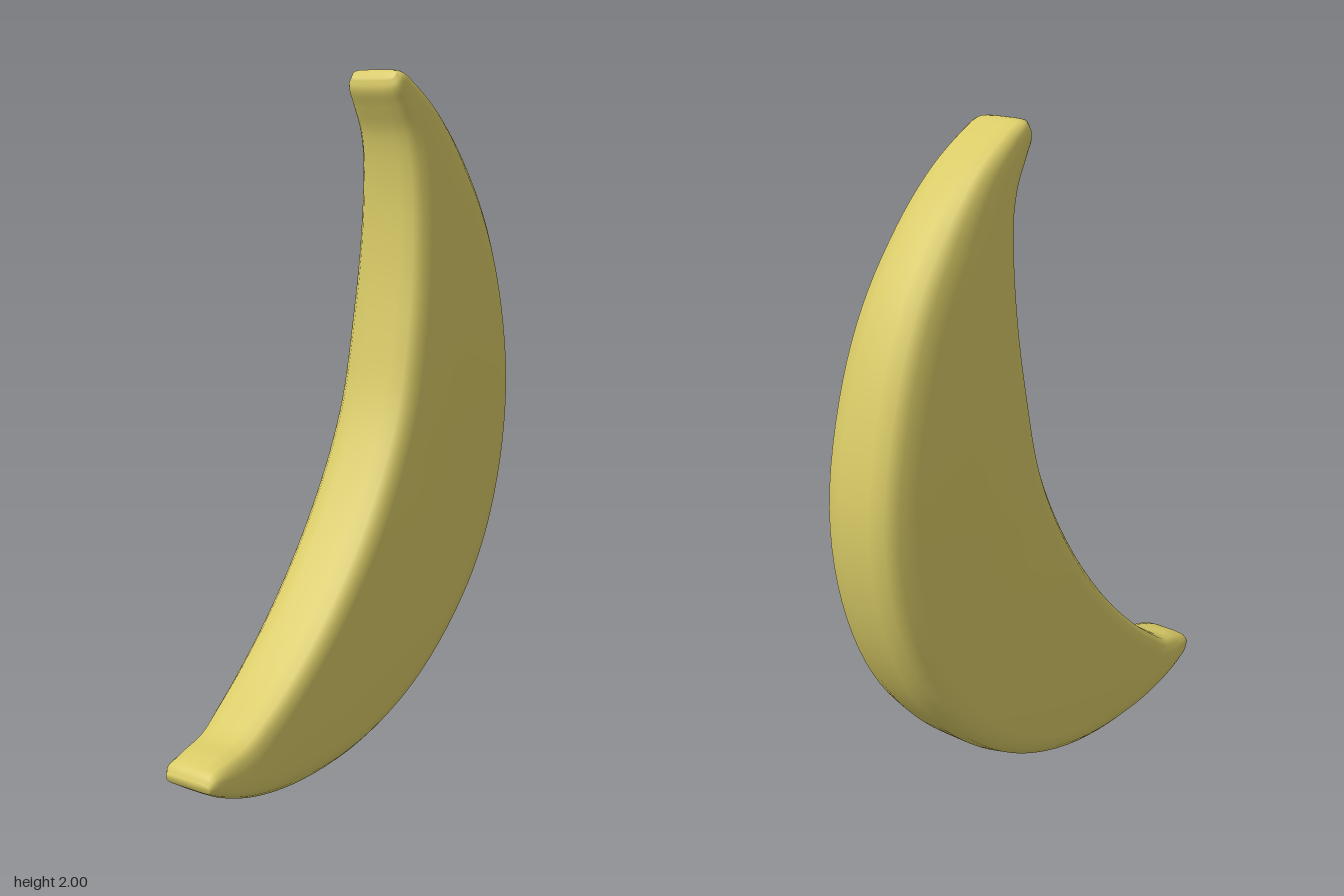
import * as THREE from 'three';

// Stations from the top tip to the bottom tip: [outerX, outerY, innerX, innerY, half thickness]
const STATIONS = [
  [0.125, 1.998, 0.107, 1.972, 0.075],
  [0.15, 1.997, 0.106, 1.94, 0.089],
  [0.2, 1.975, 0.13, 1.89, 0.094],
  [0.33, 1.89, 0.165, 1.81, 0.102],
  [0.47, 1.75, 0.185, 1.65, 0.113],
  [0.6, 1.56, 0.178, 1.45, 0.122],
  [0.69, 1.33, 0.15, 1.25, 0.129],
  [0.742, 1.04, 0.1, 1.03, 0.131],
  [0.713, 0.76, 0.02, 0.85, 0.131],
  [0.61, 0.5, -0.1, 0.66, 0.13],
  [0.45, 0.3, -0.25, 0.48, 0.125],
  [0.22, 0.13, -0.4, 0.34, 0.118],
  [-0.05, 0.03, -0.52, 0.25, 0.11],
  [-0.33, 0.002, -0.6, 0.2, 0.102],
  [-0.55, 0.03, -0.68, 0.18, 0.096],
  [-0.7, 0.085, -0.73, 0.158, 0.089],
  [-0.738, 0.108, -0.746, 0.13, 0.075],
];

// Rounded edge of the section: [inset from the rim, share of the half thickness]
const EDGE = [[0, 0.4], [0.12, 0.76], [0.45, 0.93], [1, 1]];

// Closed section between an outer and an inner rim point, whose z holds the half thickness
function section(outer, inner) {
  const width = Math.hypot(outer.x - inner.x, outer.y - inner.y);
  const outerInset = Math.min(0.3, 0.1 / width);
  const innerInset = Math.min(0.3, 0.07 / width);
  const half = [
    ...EDGE.map(([i, z]) => [i * outerInset, z]),
    [0.5, 1],
    ...EDGE.map(([i, z]) => [1 - i * innerInset, z]).reverse(),
  ];
  const ring = [...half, ...half.map(([u, z]) => [u, -z]).reverse()];
  return ring.map(([u, z]) => {
    const p = outer.clone().lerp(inner, u);
    p.z *= z;
    return p;
  });
}

function crescentGeometry(steps) {
  const outerRim = new THREE.CatmullRomCurve3(STATIONS.map(s => new THREE.Vector3(s[0], s[1], s[4])));
  const innerRim = new THREE.CatmullRomCurve3(STATIONS.map(s => new THREE.Vector3(s[2], s[3], s[4])));
  const rings = [];
  for (let i = 0; i <= steps; i++) {
    rings.push(section(outerRim.getPoint(i / steps), innerRim.getPoint(i / steps)));
  }
  const n = rings[0].length;
  const points = rings.flat();
  const index = [];
  // Skin between neighbouring sections
  for (let i = 0; i < steps; i++) {
    for (let j = 0; j < n; j++) {
      const a = i * n + j, b = i * n + (j + 1) % n;
      index.push(a, b, a + n, b, b + n, a + n);
    }
  }
  // Blunt tips
  const centre = ring => ring.reduce((sum, p) => sum.add(p), new THREE.Vector3()).divideScalar(n);
  const top = points.push(centre(rings[0])) - 1;
  const bottom = points.push(centre(rings[steps])) - 1;
  for (let j = 0; j < n; j++) {
    const k = (j + 1) % n;
    index.push(top, k, j, bottom, steps * n + j, steps * n + k);
  }
  const geometry = new THREE.BufferGeometry().setFromPoints(points);
  geometry.setIndex(index);
  geometry.computeVertexNormals();
  return geometry;
}

export function createModel() {
  const yellow = new THREE.MeshStandardMaterial({ color: 0xd8ca66 });
  yellow.name = 'soft yellow';

  const crescent = new THREE.Mesh(crescentGeometry(80), yellow);
  crescent.name = 'crescent';

  const model = new THREE.Group();
  model.name = 'crescentModel';
  model.add(crescent);
  return model;
}
